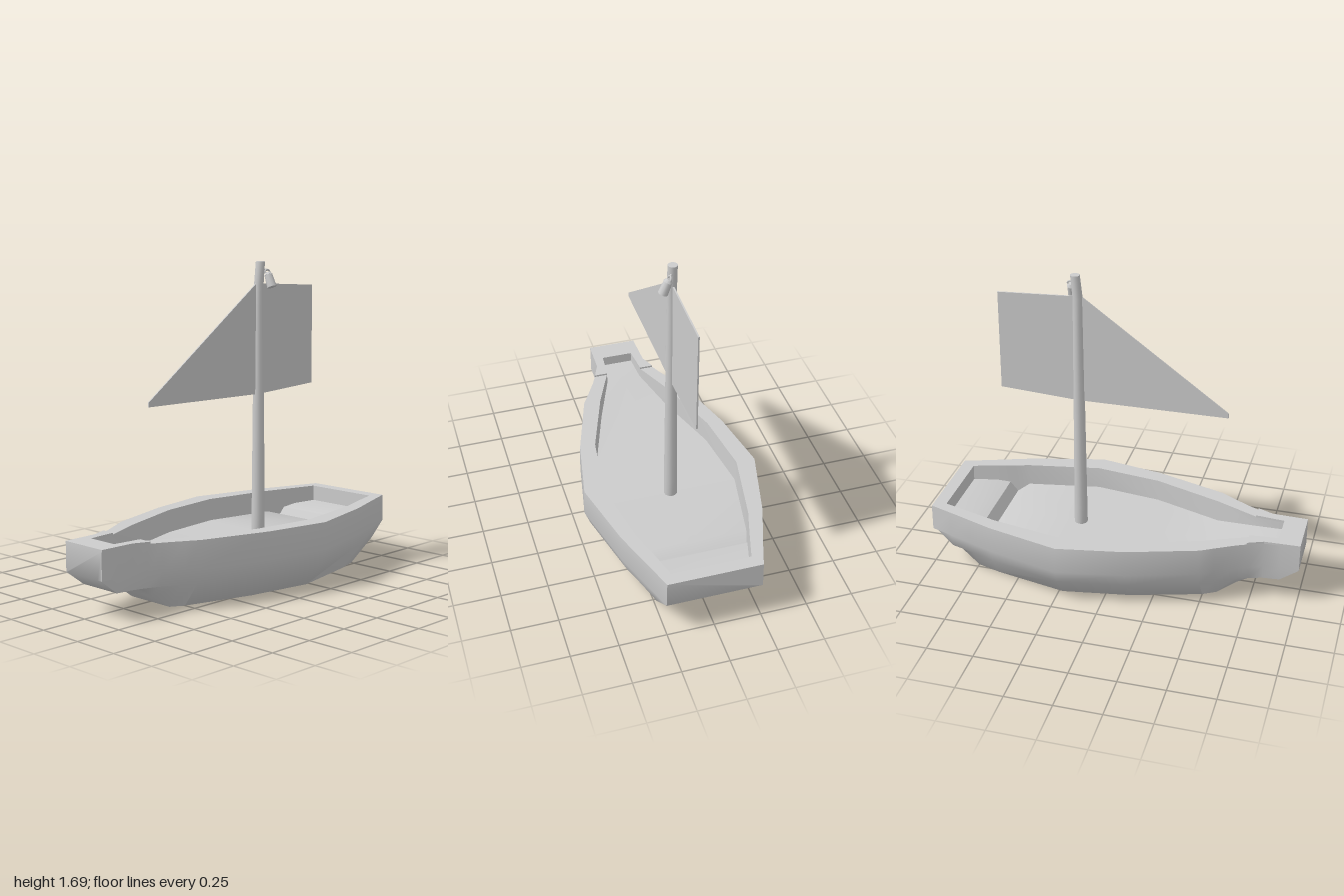
import * as THREE from 'three';
import { toCreasedNormals } from 'three/addons/utils/BufferGeometryUtils.js';

const RIM = 0.355;
const mat = new THREE.MeshStandardMaterial({ color: 0xcccccc, side: THREE.DoubleSide });

function add(parent, name, geometry) {
  const mesh = new THREE.Mesh(geometry, mat);
  mesh.name = name;
  parent.add(mesh);
  return mesh;
}

// Skins a row of U-shaped sections and closes both ends
function loft(sections, inward, crease) {
  const pos = [];
  const tri = (a, b, c) => (inward ? [a, b, c] : [a, c, b]).forEach(p => pos.push(...p));
  for (let i = 0; i < sections.length - 1; i++) {
    const s = sections[i], t = sections[i + 1];
    for (let j = 0; j < s.length - 1; j++) {
      tri(s[j], s[j + 1], t[j + 1]);
      tri(s[j], t[j + 1], t[j]);
    }
  }
  const first = sections[0], last = sections[sections.length - 1];
  for (let j = 1; j < first.length - 1; j++) {
    tri(first[0], first[j + 1], first[j]);
    tri(last[0], last[j], last[j + 1]);
  }
  const g = new THREE.BufferGeometry();
  g.setAttribute('position', new THREE.Float32BufferAttribute(pos, 3));
  return toCreasedNormals(g, crease);
}

// Half section from the rim down to the centre line, mirrored to the other side
function section(z, half) {
  const right = half.map(([x, y]) => [x, y, z]);
  const left = half.slice(0, -1).reverse().map(([x, y]) => [-x, y, z]);
  return [...right, ...left];
}

// Closed outline from [z, halfWidth] rows; shape y is -z so it lies flat after rotation
function outline(rows, Type) {
  const pts = [
    ...rows.map(([z, w]) => new THREE.Vector2(w, -z)),
    ...[...rows].reverse().map(([z, w]) => new THREE.Vector2(-w, -z)),
  ];
  return new Type(pts);
}

// Flat panel in the x = 0 plane from [z, y] corners
function panel(corners, thickness) {
  const shape = new THREE.Shape(corners.map(([z, y]) => new THREE.Vector2(-z, y)));
  const g = new THREE.ExtrudeGeometry(shape, { depth: thickness, bevelEnabled: false });
  return g.translate(0, 0, -thickness / 2).rotateY(Math.PI / 2);
}

export function createModel() {
  const boat = new THREE.Group();
  boat.name = 'sailboat';

  // Outer hull stations: z, rim half width, chine half width, bottom half width, bottom y
  const outer = [
    [-1, 0.25, 0.235, 0.2, 0.21],
    [-0.88, 0.29, 0.27, 0.22, 0.11],
    [-0.75, 0.335, 0.31, 0.23, 0],
    [-0.62, 0.38, 0.355, 0.27, 0],
    [-0.23, 0.475, 0.45, 0.35, 0],
    [0.13, 0.41, 0.385, 0.29, 0],
    [0.5, 0.295, 0.27, 0.18, 0],
    [0.57, 0.255, 0.23, 0.14, 0],
    [0.67, 0.2, 0.18, 0.12, 0.07],
    [0.74, 0.168, 0.15, 0.115, 0.125],
    [0.81, 0.14, 0.13, 0.11, 0.13],
    [0.9, 0.133, 0.125, 0.1, 0.132],
    [1, 0.132, 0.125, 0.1, 0.21],
  ];
  add(boat, 'hull', loft(outer.map(([z, w, c, b, y]) => section(z, [
    [w, RIM], [w * 1.01, Math.max(0.21, y)], [c, Math.max(0.13, y)], [b, y], [0, y],
  ])), false, 1));

  // Cockpit stations: z, half width, floor y; the floor steps down before the stern bench
  const inner = [
    [-0.93, 0.21, 0.27],
    [-0.8, 0.247, 0.265],
    [-0.73, 0.268, 0.25],
    [-0.69, 0.28, 0.19],
    [-0.625, 0.3, 0.235],
    [-0.23, 0.372, 0.235],
    [0.13, 0.325, 0.235],
    [0.5, 0.2, 0.235],
    [0.73, 0.1, 0.3],
    [0.88, 0.088, 0.31],
  ];
  add(boat, 'cockpit', loft(inner.map(([z, w, y]) => section(z, [
    [w, RIM], [w * 0.98, y], [0, y],
  ])), true, 0.7));

  // Gunwale between hull and cockpit
  const rim = outline(outer, THREE.Shape);
  rim.holes.push(outline(inner, THREE.Path));
  add(boat, 'gunwale', new THREE.ShapeGeometry(rim).rotateX(-Math.PI / 2).translate(0, RIM, 0));

  // Thin U-shaped cap on the bow
  const cap = new THREE.Shape([
    [0.174, 0.725], [0.14, 0.81], [0.135, 1], [-0.135, 1], [-0.14, 0.81], [-0.174, 0.725],
    [-0.1, 0.725], [-0.086, 0.88], [0.086, 0.88], [0.1, 0.725],
  ].map(([x, z]) => new THREE.Vector2(x, -z)));
  const capGeometry = new THREE.ExtrudeGeometry(cap, { depth: 0.012, bevelEnabled: false });
  add(boat, 'bowCap', capGeometry.rotateX(-Math.PI / 2).translate(0, RIM - 0.002, 0));

  // Tapered mast with a bent tip
  const mastGeometry = new THREE.CylinderGeometry(0.025, 0.037, 1.47, 12, 12).translate(0, 0.955, -0.227);
  const p = mastGeometry.attributes.position;
  for (let i = 0; i < p.count; i++) {
    const bend = Math.max(0, p.getY(i) - 1.56) / 0.13;
    p.setZ(i, p.getZ(i) - 0.012 * bend * bend);
  }
  mastGeometry.computeVertexNormals();
  add(boat, 'mast', toCreasedNormals(mastGeometry, 0.8));

  // Sails fore and aft of the mast
  add(boat, 'foreSail', panel([[0.57, 1.015], [-0.205, 1.575], [-0.23, 1.575], [-0.23, 0.985], [0.57, 0.99]], 0.008));
  add(boat, 'aftSail', panel([[-0.23, 1.575], [-0.655, 1.553], [-0.655, 1.01], [-0.23, 0.985]], 0.008));

  // Small lantern hung from the masthead
  const lantern = new THREE.Group();
  lantern.name = 'lantern';
  lantern.position.set(0.044, 1.588, -0.268);
  lantern.rotation.z = 0.4;
  add(lantern, 'lanternBody', new THREE.CylinderGeometry(0.022, 0.026, 0.07, 10));
  add(lantern, 'lanternLid', new THREE.CylinderGeometry(0.012, 0.024, 0.014, 10)).position.y = 0.04;
  const handle = add(lantern, 'lanternHandle', new THREE.TorusGeometry(0.018, 0.005, 6, 12, Math.PI));
  handle.position.y = 0.046;
  handle.rotation.y = Math.PI / 2;
  boat.add(lantern);
  const hook = new THREE.LineCurve3(new THREE.Vector3(0, 1.65, -0.235), new THREE.Vector3(0.02, 1.645, -0.268));
  add(boat, 'lanternHook', new THREE.TubeGeometry(hook, 1, 0.006, 6));

  return boat;
}
